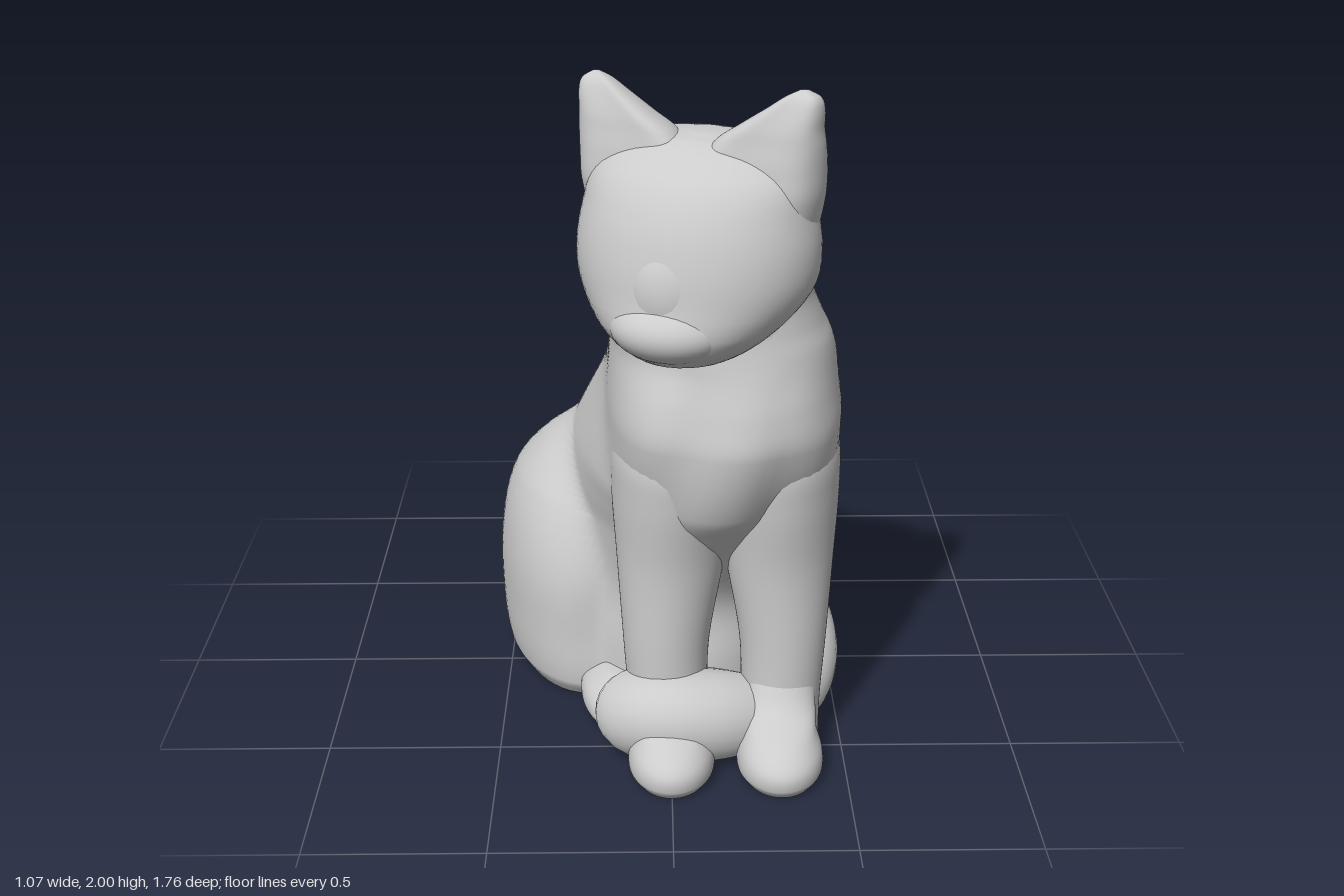
import * as THREE from 'three';

const material = new THREE.MeshStandardMaterial({ color: 0xcccccc, roughness: 0.7 });
const SEGS = 96, STEPS = 6, BLEND = 0.05;
const HEAD = { x: 0.09, z: 0.52, yaw: -0.42 };

// A form is a stack of elliptic rings [y, centreX, centreZ, radiusX, radiusZ, egg], bottom to top;
// this gives the smoothly interpolated ring at any height.
function ringAt(rings, y) {
  const n = rings.length - 1;
  if (y < rings[0][0] || y > rings[n][0]) return null;
  let i = 0;
  while (i < n - 1 && y > rings[i + 1][0]) i++;
  const [a, b, c, d] = [i - 1, i, i + 1, i + 2].map(k => rings[THREE.MathUtils.clamp(k, 0, n)]);
  const h = c[0] - b[0], t = (y - b[0]) / h;
  return [0, 1, 2, 3, 4, 5].map(k => {
    const v = r => r[k] ?? 0;
    const m0 = (v(c) - v(a)) / (c[0] - a[0]) * h, m1 = (v(d) - v(b)) / (d[0] - b[0]) * h;
    const value = v(b) + t * (m0 + t * (3 * (v(c) - v(b)) - 2 * m0 - m1 + t * (2 * (v(b) - v(c)) + m0 + m1)));
    return k === 3 || k === 4 ? Math.max(value, 0.002) : value;
  });
}

// Distance from (ox, oz) along (dx, dz) to the far side of a form's ring
function reach({ rings, skew = 0, x = 0, z = 0, yaw = 0 }, y, ox, oz, dx, dz) {
  const ring = ringAt(rings, y);
  if (!ring) return 0;
  const [, cx, cz, rx, rz, egg] = ring, cos = Math.cos(yaw), sin = Math.sin(yaw);
  const flatten = (u, w, eu, ew) => {
    const p = u * cos - w * sin - eu, q = u * sin + w * cos - ew;
    return [(p - skew * q) / (rx * (1 + egg * dz)), q / rz];
  };
  const [px, pz] = flatten(ox - x, oz - z, cx, cz), [qx, qz] = flatten(dx, dz, 0, 0);
  const a = qx * qx + qz * qz, b = px * qx + pz * qz, disc = b * b - a * (px * px + pz * pz - 1);
  return disc < 0 ? 0 : Math.max(0, (Math.sqrt(disc) - b) / a);
}

// One skin around the first form, melting the other forms into it; dent hollows the front face
function skin(forms, dent = 0) {
  const main = forms[0].rings, rows = (main.length - 1) * STEPS, pos = [], index = [];
  const addRing = i => {
    const k = Math.min(Math.floor(i / STEPS), main.length - 2);
    const y = THREE.MathUtils.lerp(main[k][0], main[k + 1][0], i / STEPS - k);
    const [, cx, cz, , rz] = ringAt(main, Math.min(y, main.at(-1)[0]));
    for (let j = 0; j < SEGS; j++) {
      const a = (j / SEGS) * Math.PI * 2, dx = Math.cos(a), dz = Math.sin(a);
      const r = forms.map(f => reach(f, Math.min(y, f === forms[0] ? main.at(-1)[0] : y), cx, cz, dx, dz))
        .reduce((p, q) => Math.max(p, q) + Math.max(BLEND - Math.abs(p - q), 0) ** 2 / (4 * BLEND));
      const hollow = dz > 0 ? 1 - dent * Math.min(1, r * dz / rz) ** 2 : 1;
      pos.push(cx + r * dx, y, cz + r * dz * hollow);
    }
    return [cx, y, cz];
  };
  let top;
  for (let i = 0; i <= rows; i++) top = addRing(i);
  for (let i = 0; i < rows; i++) {
    for (let j = 0; j < SEGS; j++) {
      const k = (j + 1) % SEGS;
      const a = i * SEGS + j, b = i * SEGS + k, c = a + SEGS, d = b + SEGS;
      index.push(a, c, b, b, c, d);
    }
  }
  // rounded top shares its ring, flat underside gets its own
  const tip = pos.length / 3;
  pos.push(top[0], top[1] + 0.002, top[2]);
  const under = pos.length / 3, bottom = addRing(0), hub = pos.length / 3;
  pos.push(...bottom);
  for (let j = 0; j < SEGS; j++) {
    const k = (j + 1) % SEGS;
    index.push(rows * SEGS + j, tip, rows * SEGS + k, under + j, under + k, hub);
  }
  const g = new THREE.BufferGeometry();
  g.setAttribute('position', new THREE.Float32BufferAttribute(pos, 3));
  g.setIndex(index);
  g.computeVertexNormals();
  return g;
}

function add(parent, name, geometry) {
  const mesh = new THREE.Mesh(geometry, material);
  mesh.name = name;
  parent.add(mesh);
}

const ellipsoid = (x, y, z, rx, ry, rz) => new THREE.SphereGeometry(1, 40, 28).scale(rx, ry, rz).translate(x, y, z);

// Tube whose radius follows a rule along its length
function taperedTube(points, radiusAt) {
  const curve = new THREE.CatmullRomCurve3(points.map(p => new THREE.Vector3(...p)));
  const n = 120, sides = 24;
  const g = new THREE.TubeGeometry(curve, n, 1, sides, false);
  const p = g.attributes.position, v = new THREE.Vector3();
  for (let i = 0; i <= n; i++) {
    const c = curve.getPointAt(i / n), r = radiusAt(i / n);
    for (let k = i * (sides + 1); k < (i + 1) * (sides + 1); k++) {
      v.fromBufferAttribute(p, k).sub(c).multiplyScalar(r).add(c);
      p.setXYZ(k, v.x, Math.max(0, v.y), v.z);
    }
  }
  return g;
}

export function createModel() {
  const cat = new THREE.Group();
  cat.name = 'sittingCat';

  // Forms that melt into the body
  const trunk = { skew: 0.13, rings: [
    [0, 0, -0.2, 0.38, 0.54, -0.1], [0.05, 0, -0.18, 0.41, 0.57, -0.1], [0.2, 0, -0.17, 0.41, 0.57, -0.12],
    [0.4, 0, -0.16, 0.39, 0.545, -0.12], [0.6, 0.02, -0.08, 0.355, 0.57, -0.1], [0.7, 0.035, -0.02, 0.34, 0.59, -0.05],
    [0.8, 0.05, 0.04, 0.325, 0.605, 0], [1.0, 0.1, 0.125, 0.3, 0.575, 0.06], [1.1, 0.12, 0.17, 0.3, 0.515, 0.08],
    [1.2, 0.135, 0.245, 0.305, 0.41, 0.08], [1.26, 0.135, 0.315, 0.3, 0.325, 0.06], [1.32, 0.13, 0.35, 0.285, 0.28],
    [1.4, 0.12, 0.38, 0.265, 0.245], [1.55, 0.1, 0.43, 0.26, 0.21], [1.7, 0.09, 0.48, 0.24, 0.165],
    [1.8, 0.09, 0.52, 0.19, 0.12], [1.85, 0.09, 0.54, 0.08, 0.06], [1.863, 0.09, 0.54, 0.02, 0.02],
  ] };
  const skull = { ...HEAD, rings: [
    [1.285, 0, 0.12, 0.05, 0.06], [1.31, 0, 0.12, 0.14, 0.16], [1.38, 0, 0.1, 0.235, 0.24],
    [1.48, 0, 0.06, 0.31, 0.27], [1.58, 0, 0.05, 0.325, 0.265], [1.68, 0, 0.045, 0.31, 0.24],
    [1.77, 0, 0.04, 0.285, 0.19], [1.82, 0, 0.025, 0.235, 0.14], [1.85, 0, 0.01, 0.16, 0.09],
    [1.863, 0, 0, 0.04, 0.03],
  ] };
  const leftHaunch = { rings: [
    [0, 0.26, -0.24, 0.18, 0.39], [0.15, 0.27, -0.24, 0.205, 0.41], [0.3, 0.285, -0.22, 0.235, 0.4],
    [0.45, 0.295, -0.2, 0.235, 0.36], [0.6, 0.28, -0.165, 0.22, 0.28], [0.7, 0.26, -0.145, 0.185, 0.21],
    [0.755, 0.23, -0.135, 0.14, 0.14], [0.785, 0.21, -0.13, 0.05, 0.05],
  ] };
  const rightHaunch = { skew: 0.06, rings: [
    [0, -0.27, -0.19, 0.22, 0.4], [0.05, -0.27, -0.19, 0.25, 0.43], [0.2, -0.28, -0.19, 0.255, 0.43],
    [0.4, -0.28, -0.18, 0.25, 0.41], [0.58, -0.255, -0.17, 0.235, 0.34], [0.69, -0.22, -0.16, 0.19, 0.25],
    [0.755, -0.19, -0.16, 0.13, 0.16], [0.785, -0.17, -0.16, 0.04, 0.05],
  ] };

  // Front limbs, mirrored about the chest line x = 0.155
  const shoulders = [];
  for (const [side, s] of [['left', 1], ['right', -1]]) {
    const form = rings => ({ rings: rings.map(([y, x, ...rest]) => [y, 0.155 + s * x, ...rest]) });
    shoulders.push(form([
      [0.66, 0.12, 0.34, 0.08, 0.1], [0.82, 0.14, 0.345, 0.16, 0.23], [1.0, 0.15, 0.335, 0.175, 0.31],
      [1.12, 0.14, 0.32, 0.175, 0.31], [1.22, 0.12, 0.31, 0.165, 0.27], [1.31, 0.1, 0.33, 0.135, 0.19],
      [1.38, 0.08, 0.35, 0.08, 0.1],
    ]));
    add(cat, side + 'FrontLeg', skin([form([
      [0, 0.165, 0.46, 0.115, 0.12], [0.15, 0.165, 0.46, 0.115, 0.12], [0.35, 0.168, 0.45, 0.125, 0.13],
      [0.6, 0.155, 0.415, 0.155, 0.17], [0.82, 0.15, 0.365, 0.175, 0.25], [0.95, 0.145, 0.345, 0.172, 0.27],
      [1.08, 0.125, 0.34, 0.12, 0.2], [1.16, 0.1, 0.34, 0.04, 0.08],
    ])]));
    add(cat, side + 'FrontPaw', skin([form([
      [0, 0.155, 0.62, 0.105, 0.14], [0.03, 0.155, 0.625, 0.122, 0.155], [0.08, 0.155, 0.62, 0.12, 0.155],
      [0.13, 0.155, 0.59, 0.105, 0.13], [0.18, 0.16, 0.54, 0.1, 0.085], [0.26, 0.165, 0.49, 0.09, 0.08],
      [0.34, 0.165, 0.46, 0.06, 0.06],
    ])]));
  }
  add(cat, 'body', skin([trunk, leftHaunch, rightHaunch, ...shoulders, skull]));

  // Flat foot that closes the underside between legs and tail
  add(cat, 'base', skin([{ skew: 0.2, rings: [
    [0, 0.04, -0.14, 0.43, 0.66], [0.04, 0.04, -0.14, 0.43, 0.66],
    [0.07, 0.04, -0.14, 0.4, 0.63], [0.09, 0.04, -0.14, 0.3, 0.5],
  ] }]));
  add(cat, 'rightHindPaw', skin([{ rings: [
    [0, -0.14, 0.24, 0.11, 0.2], [0.04, -0.14, 0.24, 0.13, 0.22], [0.09, -0.14, 0.23, 0.12, 0.2],
    [0.14, -0.14, 0.2, 0.06, 0.13],
  ] }]));

  // Tail wraps round the left side, passes behind the left leg and ends over the right paw
  add(cat, 'tail', taperedTube([
    [-0.22, 0.13, -0.5], [-0.19, 0.12, -0.66], [-0.07, 0.105, -0.775], [0.15, 0.095, -0.74], [0.33, 0.08, -0.56],
    [0.42, 0.075, -0.32], [0.455, 0.07, -0.07], [0.435, 0.07, 0.17], [0.37, 0.075, 0.35],
    [0.24, 0.1, 0.47], [0.1, 0.135, 0.54], [-0.02, 0.145, 0.545], [-0.1, 0.12, 0.49], [-0.13, 0.1, 0.4],
  ], t => {
    const base = 0.108 - 0.028 * THREE.MathUtils.smoothstep(t, 0.1, 0.4)
      + 0.055 * THREE.MathUtils.smoothstep(t, 0.72, 0.88);
    const end = Math.min(1, Math.min(t, 1 - t) / 0.06);
    return base * Math.sqrt(1 - (1 - end) ** 2) + 1e-4;
  }));

  // Face and ears, turned towards the right side
  const head = new THREE.Group();
  head.name = 'head';
  head.position.set(HEAD.x, 0, HEAD.z);
  head.rotation.y = HEAD.yaw;
  cat.add(head);
  add(head, 'muzzle', ellipsoid(0, 1.405, 0.235, 0.16, 0.09, 0.135));
  add(head, 'noseBridge', ellipsoid(0, 1.5, 0.2, 0.14, 0.17, 0.135));
  for (const [side, s] of [['left', 1], ['right', -1]]) {
    add(head, side + 'Ear', skin([{ skew: s * -0.15, rings: [
      [1.6, s * 0.2, 0.04, 0.1, 0.11], [1.72, s * 0.19, 0.05, 0.135, 0.14], [1.8, s * 0.175, 0.05, 0.155, 0.135],
      [1.86, s * 0.195, 0.055, 0.135, 0.11], [1.9, s * 0.222, 0.06, 0.105, 0.09], [1.95, s * 0.26, 0.06, 0.068, 0.065],
      [1.98, s * 0.277, 0.06, 0.042, 0.042], [1.997, s * 0.28, 0.06, 0.012, 0.012],
    ] }], 0.4));
  }
  return cat;
}
